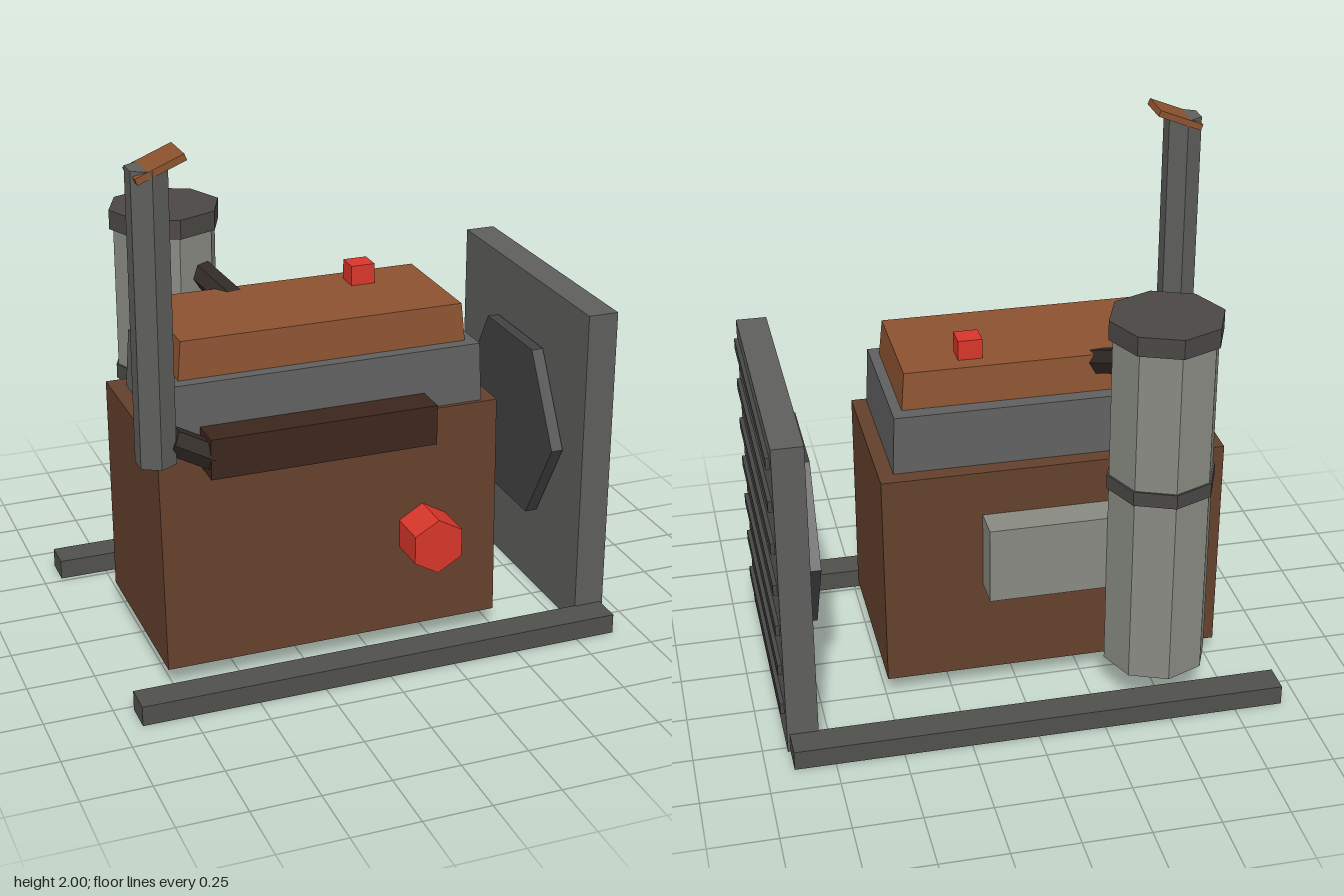
import * as THREE from 'three';

const mat = (color) => new THREE.MeshStandardMaterial({ color, flatShading: true });
const M = {
  block: mat(0x64402c), cover: mat(0x8c5230), manifold: mat(0x3c261c), head: mat(0x606060),
  frame: mat(0x50504c), radiator: mat(0x5e5e5c), slat: mat(0x484846), fan: mat(0x424244),
  can: mat(0x888a82), dark: mat(0x4a4744), hose: mat(0x302824), red: mat(0xd8362a),
};

export function createModel() {
  const root = new THREE.Group();

  const add = (name, geometry, material) => {
    const mesh = new THREE.Mesh(geometry, material);
    mesh.name = name;
    root.add(mesh);
    return mesh;
  };

  // Box given by its limits on each axis
  const box = (name, material, [x0, x1], [y0, y1], [z0, z1]) => {
    const mesh = add(name, new THREE.BoxGeometry(x1 - x0, y1 - y0, z1 - z0), material);
    mesh.position.set((x0 + x1) / 2, (y0 + y1) / 2, (z0 + z1) / 2);
    return mesh;
  };

  // Box whose bottom and top rectangles [x0, x1, z0, z1] differ
  const taperedBox = (name, material, y0, y1, bottom, top) => {
    const g = new THREE.BoxGeometry(1, 1, 1);
    const p = g.attributes.position;
    for (let i = 0; i < p.count; i++) {
      const up = p.getY(i) > 0;
      const r = up ? top : bottom;
      p.setXYZ(i, r[p.getX(i) > 0 ? 1 : 0], up ? y1 : y0, r[p.getZ(i) > 0 ? 3 : 2]);
    }
    g.computeVertexNormals();
    return add(name, g, material);
  };

  // Faceted cylinder between two points
  const rod = (name, material, a, b, radius, sides) => {
    const from = new THREE.Vector3(...a), to = new THREE.Vector3(...b);
    const dir = to.clone().sub(from);
    const mesh = add(name, new THREE.CylinderGeometry(radius, radius, dir.length(), sides), material);
    mesh.position.copy(from).add(to).multiplyScalar(0.5);
    mesh.quaternion.setFromUnitVectors(new THREE.Vector3(0, 1, 0), dir.normalize());
    return mesh;
  };

  // Two skid rails
  box('leftSkid', M.frame, [-0.93, 0.9], [0, 0.075], [0.52, 0.635]);
  box('rightSkid', M.frame, [-0.93, 0.9], [0, 0.075], [-0.635, -0.52]);

  // Engine block, cylinder head and valve cover
  taperedBox('engineBlock', M.block, 0.08, 0.92, [-0.775, 0.495, -0.27, 0.435], [-0.78, 0.5, -0.268, 0.4]);
  taperedBox('cylinderHead', M.head, 0.9, 1.14, [-0.72, 0.445, -0.208, 0.385], [-0.705, 0.435, -0.2, 0.38]);
  taperedBox('valveCover', M.cover, 1.13, 1.28, [-0.68, 0.398, -0.145, 0.335], [-0.665, 0.385, -0.132, 0.325]);
  box('oilFillerCap', M.red, [0.085, 0.175], [1.26, 1.355], [-0.07, 0.015]);
  rod('oilFilter', M.red, [0.207, 0.455, 0.36], [0.207, 0.455, 0.568], 0.105, 6);

  // Radiator with its slats and fan disc
  box('radiator', M.radiator, [0.795, 0.91], [0, 1.245], [-0.525, 0.525]);
  for (let i = 0; i < 7; i++) {
    const y = 0.16 + i * 0.168;
    box('radiatorSlat', M.slat, [0.9, 0.925], [y - 0.021, y + 0.021], [-0.48, 0.48]);
  }
  const fan = add('fan', new THREE.CylinderGeometry(0.387, 0.387, 0.045, 6), M.fan);
  fan.rotation.z = Math.PI / 2;
  fan.position.set(0.763, 0.665, 0);

  // Exhaust manifold, elbow, stack and rain flap
  box('exhaustManifold', M.manifold, [-0.62, 0.22], [0.83, 0.98], [0.385, 0.505]);
  rod('exhaustElbow', M.hose, [-0.745, 0.98, 0.455], [-0.6, 0.9, 0.455], 0.052, 6);
  rod('exhaustStack', M.radiator, [-0.8, 0.905, 0.4525], [-0.8, 1.95, 0.4525], 0.073, 6);
  const flap = add('rainFlap', new THREE.BoxGeometry(0.18, 0.024, 0.145), M.cover);
  flap.position.set(-0.77, 1.955, 0.45);
  flap.rotation.z = 0.385;

  // Air cleaner canister with band, lid and intake hose
  const can = (name, material, y0, y1, r) => rod(name, material, [-0.5, y0, -0.395], [-0.5, y1, -0.395], r, 8);
  can('airCleaner', M.can, 0.145, 1.47, 0.195);
  can('airCleanerBand', M.dark, 0.875, 0.93, 0.203);
  can('airCleanerLid', M.dark, 1.465, 1.538, 0.21);
  rod('intakeHose', M.hose, [-0.47, 1.365, -0.4], [-0.33, 1.235, -0.09], 0.05, 6);

  // Starter housing on the right side of the block
  box('starterHousing', M.can, [-0.42, 0.13], [0.45, 0.745], [-0.392, -0.25]);

  return root;
}
